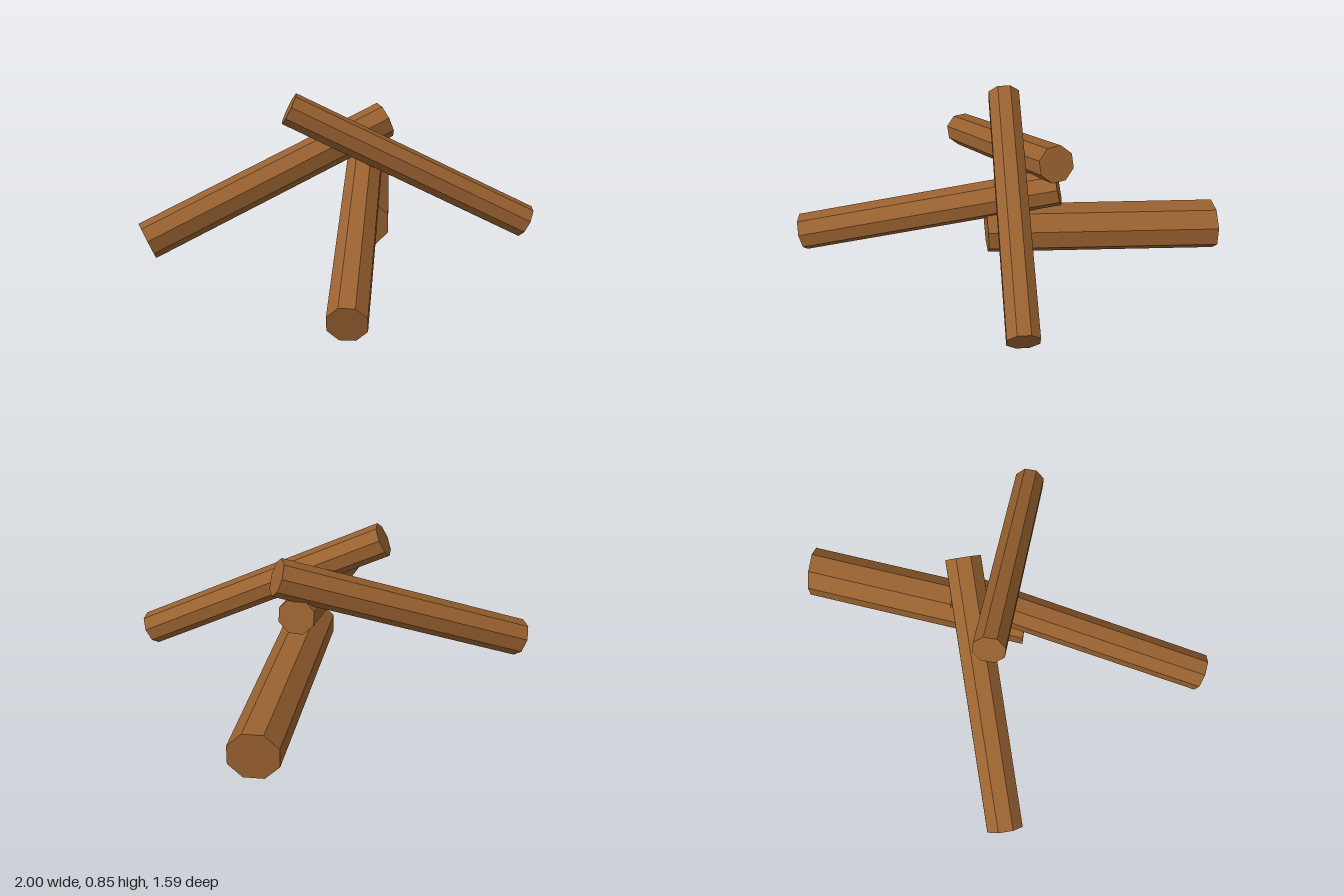
import * as THREE from 'three';

// Octagonal log between two end centres; `side` optionally skews the end cuts
function makeLog(name, material, from, to, radius, side) {
  const a = new THREE.Vector3(...from);
  const b = new THREE.Vector3(...to);
  const axis = b.clone().sub(a);
  const square = new THREE.Vector3(-axis.z, 0, axis.x).normalize();
  const up = square.clone().cross(axis).normalize();
  const across = side ? new THREE.Vector3(...side).normalize() : square;

  // Unit cylinder with a flat facet on top, stretched along the log
  const geometry = new THREE.CylinderGeometry(1, 1, 1, 8, 1, false, Math.PI / 8);
  const matrix = new THREE.Matrix4().makeBasis(
    across.clone().multiplyScalar(radius), axis, up.multiplyScalar(radius));
  matrix.setPosition(a.add(b).multiplyScalar(0.5));
  geometry.applyMatrix4(matrix);

  const mesh = new THREE.Mesh(geometry, material);
  mesh.name = name;
  return mesh;
}

export function createModel() {
  const group = new THREE.Group();
  group.name = 'logPile';
  const wood = new THREE.MeshStandardMaterial({ color: 0x9a6230, flatShading: true });

  group.add(
    // Thick log lying on the ground
    makeLog('groundLog', wood, [-0.08, 0.155, 0.1], [0.905, 0.17, -0.705], 0.138, [1, 0, 0.98]),
    // Three thinner logs leaning over it
    makeLog('lowLeaningLog', wood, [-0.92, 0.105, 0.715], [0.225, 0.425, -0.157], 0.104),
    makeLog('backLeaningLog', wood, [-0.945, 0.112, -0.705], [0.278, 0.64, -0.06], 0.104),
    makeLog('topLeaningLog', wood, [0.63, 0.108, 0.68], [-0.26, 0.783, -0.287], 0.092),
  );
  return group;
}
